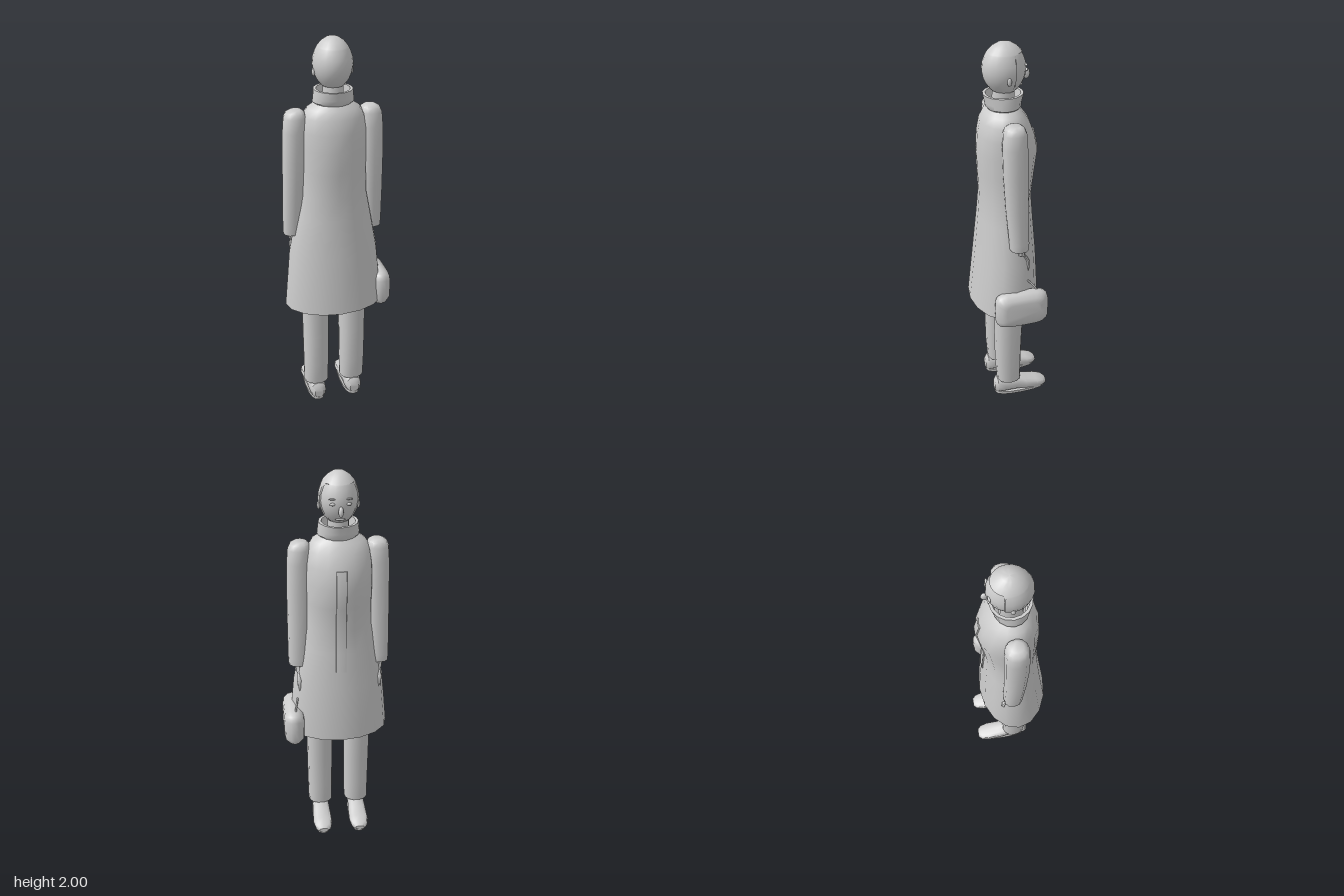
import * as THREE from 'three';
import { toCreasedNormals } from 'three/addons/utils/BufferGeometryUtils.js';

const MID = -0.017; // centre line of the figure

// Skin through oval rings [y, cx, cz, rx, rz], listed upward; p < 1 makes the ovals squarer
function loft(rings, n = 16, p = 1, caps = true, rule = null) {
  const pos = [], idx = [];
  const bend = (v) => Math.sign(v) * Math.abs(v) ** p;
  rings.forEach(([y, cx, cz, rx, rz]) => {
    for (let i = 0; i < n; i++) {
      const a = (i / n) * Math.PI * 2;
      const v = [cx + rx * bend(Math.cos(a)), y, cz + rz * bend(Math.sin(a))];
      pos.push(...(rule ? rule(v) : v));
    }
  });
  for (let r = 0; r < rings.length - 1; r++) {
    for (let i = 0; i < n; i++) {
      const a = r * n + i, b = r * n + ((i + 1) % n);
      idx.push(a, a + n, b, b, a + n, b + n);
    }
  }
  if (caps) {
    const top = (rings.length - 1) * n;
    for (let i = 1; i < n - 1; i++) idx.push(0, i, i + 1, top, top + i + 1, top + i);
  }
  const g = new THREE.BufferGeometry();
  g.setAttribute('position', new THREE.Float32BufferAttribute(pos, 3));
  g.setIndex(idx);
  return toCreasedNormals(g, 0.75);
}

// Rings given by half width plus front and back z
const span = (list) => list.map(([y, rx, front, back]) => [y, MID, (front + back) / 2, rx, (back - front) / 2]);

export function createModel() {
  const model = new THREE.Group();
  model.name = 'figure';
  const grey = new THREE.MeshStandardMaterial({ color: 0xcccccc, side: THREE.DoubleSide });
  grey.name = 'light grey';
  const add = (name, geometry, parent = model) => {
    const m = new THREE.Mesh(geometry, grey);
    m.name = name;
    parent.add(m);
    return m;
  };
  const ball = (name, x, y, z, sx, sy, sz, parent) => {
    const m = add(name, new THREE.SphereGeometry(1, 12, 8), parent);
    m.position.set(x, y, z);
    m.scale.set(sx, sy, sz);
    return m;
  };

  // Long coat, open at the hem
  add('coat', loft(span([
    [0.6, 0.26, -0.16, 0.198], [0.9, 0.232, -0.145, 0.166], [1.1, 0.195, -0.13, 0.147],
    [1.22, 0.172, -0.122, 0.138], [1.35, 0.168, -0.138, 0.144], [1.46, 0.169, -0.153, 0.148],
    [1.55, 0.166, -0.135, 0.142], [1.62, 0.155, -0.108, 0.128], [1.66, 0.13, -0.08, 0.108],
    [1.685, 0.09, -0.06, 0.085],
  ]), 16, 1, false));

  // Raised front placket following the chest
  const front = [[1.0, -0.136], [1.1, -0.13], [1.22, -0.122], [1.35, -0.138], [1.46, -0.153], [1.55, -0.135]];
  add('placket', loft(front.map(([y, z]) => [y, MID, z + 0.001, 0.026, 0.005]), 12, 0.4));

  // Standing collar with an open top
  add('collar', loft(span([
    [1.665, 0.07, -0.06, 0.08], [1.69, 0.103, -0.073, 0.1], [1.71, 0.101, -0.075, 0.104],
    [1.75, 0.096, -0.086, 0.112], [1.75, 0.082, -0.072, 0.098], [1.69, 0.078, -0.06, 0.085],
  ]), 16, 1, false));

  // Neck, egg-shaped head and close-cropped hair
  add('neck', loft([[1.64, MID, 0.015, 0.055, 0.058], [1.79, MID, 0.01, 0.05, 0.055]], 12));
  const egg = [[1.744, 0.01], [1.752, 0.035], [1.77, 0.058], [1.8, 0.078], [1.83, 0.09], [1.865, 0.096],
    [1.9, 0.0925], [1.93, 0.083], [1.945, 0.076], [1.951, 0.073], [1.975, 0.053], [1.992, 0.028], [1.999, 0.004]];
  const head = (k) => egg.map(([y, r]) => [y, MID, 0.006, r * k, r * 1.12 * k]);
  add('head', loft(head(0.965), 20));
  add('hair', loft(head(1.02), 20, 1, true,
    ([x, y, z]) => [x, y, y < 1.95 ? Math.max(z, -0.03) : z]));

  // Face
  const face = new THREE.Group();
  face.name = 'face';
  model.add(face);
  ball('nose', MID, 1.832, -0.101, 0.012, 0.026, 0.018, face);
  ball('mouth', MID, 1.786, -0.07, 0.025, 0.005, 0.01, face);
  for (const s of [-1, 1]) {
    ball('eye', MID + s * 0.038, 1.866, -0.089, 0.014, 0.007, 0.007, face);
    ball('eyebrow', MID + s * 0.038, 1.89, -0.086, 0.018, 0.004, 0.007, face);
    ball('ear', MID + s * 0.094, 1.832, 0.008, 0.008, 0.02, 0.011, face);
  }

  for (const s of [-1, 1]) {
    const side = s > 0 ? 'left' : 'right';
    const at = (d) => MID + s * d;

    // Sleeve with a rounded shoulder
    add(side + 'Arm', loft([
      [1.0, at(0.205), -0.01, 0.051, 0.048], [1.04, at(0.206), -0.009, 0.052, 0.05],
      [1.22, at(0.201), 0.002, 0.056, 0.055], [1.4, at(0.197), 0.008, 0.058, 0.06],
      [1.55, at(0.194), 0.01, 0.057, 0.061], [1.62, at(0.19), 0.01, 0.055, 0.057],
      [1.645, at(0.188), 0.01, 0.046, 0.047], [1.657, at(0.185), 0.01, 0.028, 0.03],
    ], 12, 0.85));

    // Wrist and slim hanging hand
    add(side + 'Hand', loft([
      [0.855, at(0.204), -0.058, 0.004, 0.004], [0.885, at(0.205), -0.059, 0.011, 0.008],
      [0.92, at(0.206), -0.056, 0.014, 0.009], [0.95, at(0.205), -0.04, 0.009, 0.009],
      [0.962, at(0.205), -0.02, 0.02, 0.02], [1.01, at(0.205), -0.018, 0.024, 0.024],
    ], 8));

    // Trouser leg
    add(side + 'Leg', loft([
      [0.1, at(0.1), 0.014, 0.065, 0.064], [0.22, at(0.1), 0.018, 0.067, 0.069],
      [0.4, at(0.1), 0.016, 0.069, 0.074], [0.6, at(0.1), 0.01, 0.07, 0.077],
      [0.9, at(0.098), 0.01, 0.075, 0.085],
    ], 14, 0.85));

    // Shoe runs from heel to toe, so its rings are laid along -z
    const shoe = loft([
      [-0.095, at(0.1), 0.05, 0.025, 0.03], [-0.08, at(0.1), 0.056, 0.04, 0.046],
      [-0.04, at(0.1), 0.058, 0.045, 0.049], [0.03, at(0.1), 0.055, 0.046, 0.045],
      [0.08, at(0.1), 0.044, 0.05, 0.036], [0.14, at(0.1), 0.036, 0.052, 0.029],
      [0.18, at(0.1), 0.031, 0.043, 0.022], [0.2, at(0.1), 0.027, 0.024, 0.012],
    ], 12, 0.75);
    shoe.rotateX(-Math.PI / 2);
    add(side + 'Shoe', shoe);
    add(side + 'Sole', loft([
      [0, at(0.1), -0.052, 0.047, 0.143], [0.018, at(0.1), -0.052, 0.049, 0.146],
    ], 16, 0.8));
  }

  // Handbag: a soft box lofted across its thickness
  const bag = loft([
    [-0.052, 0, 0, 0.09, 0.055], [-0.046, 0, 0, 0.115, 0.078], [-0.02, 0, 0, 0.136, 0.096],
    [0, 0, 0, 0.14, 0.1], [0.02, 0, 0, 0.136, 0.096], [0.046, 0, 0, 0.115, 0.078],
    [0.052, 0, 0, 0.09, 0.055],
  ], 24, 0.42);
  bag.rotateZ(-Math.PI / 2).rotateX(Math.PI / 2);
  // lay the long side along z
  const p = bag.attributes.position;
  const long = Math.max(...Array.from({ length: p.count }, (_, i) => p.getY(i)));
  if (long > 0.12) bag.rotateX(Math.PI / 2);
  add('handbag', bag).position.set(0.224, 0.66, -0.015);

  // Thin bag strap
  const strap = new THREE.CatmullRomCurve3([
    new THREE.Vector3(0.2, 0.81, -0.05), new THREE.Vector3(0.208, 0.785, -0.075),
    new THREE.Vector3(0.216, 0.75, -0.1),
  ]);
  add('bagStrap', new THREE.TubeGeometry(strap, 8, 0.005, 6));

  return model;
}
